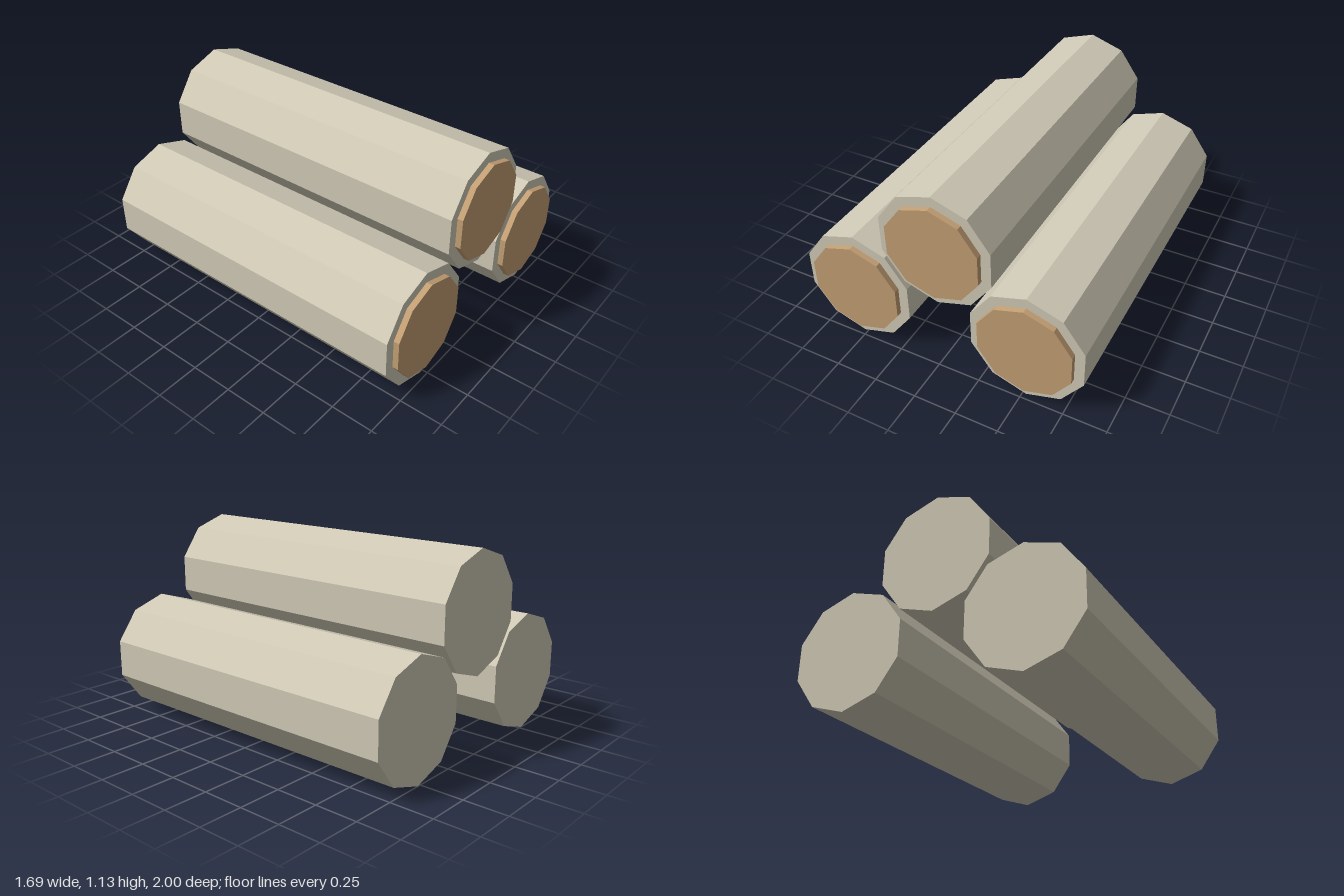
import * as THREE from 'three';

const SIDES = 10;
const LOG_RADIUS = 0.343, CORE_RADIUS = 0.284;
const BACK = -1, LOG_FRONT = 0.967, CORE_FRONT = 1;

// Ten-sided prism lying along z, with a corner pointing straight up
function prism(radius, z0, z1) {
  const g = new THREE.CylinderGeometry(radius, radius, z1 - z0, SIDES);
  g.rotateX(Math.PI / 2);
  g.translate(0, 0, (z0 + z1) / 2);
  return g;
}

export function createModel() {
  const bark = new THREE.MeshStandardMaterial({ color: 0xd0cab6, flatShading: true });
  bark.name = 'paleBark';
  const wood = new THREE.MeshStandardMaterial({ color: 0xc4a074, flatShading: true });
  wood.name = 'cutWood';

  const barkGeometry = prism(LOG_RADIUS, BACK, LOG_FRONT);
  const coreGeometry = prism(CORE_RADIUS, LOG_FRONT, CORE_FRONT);

  const model = new THREE.Group();
  model.name = 'logPile';

  // Two logs side by side with a third resting on top
  const logs = [
    ['leftLog', 0.52, 0.345],
    ['rightLog', -0.52, 0.345],
    ['topLog', 0, 0.788],
  ];
  for (const [name, x, y] of logs) {
    const log = new THREE.Group();
    log.name = name;
    const trunk = new THREE.Mesh(barkGeometry, bark);
    trunk.name = 'trunk';
    const cutEnd = new THREE.Mesh(coreGeometry, wood);
    cutEnd.name = 'cutEnd';
    log.add(trunk, cutEnd);
    log.position.set(x, y, 0);
    model.add(log);
  }
  return model;
}
